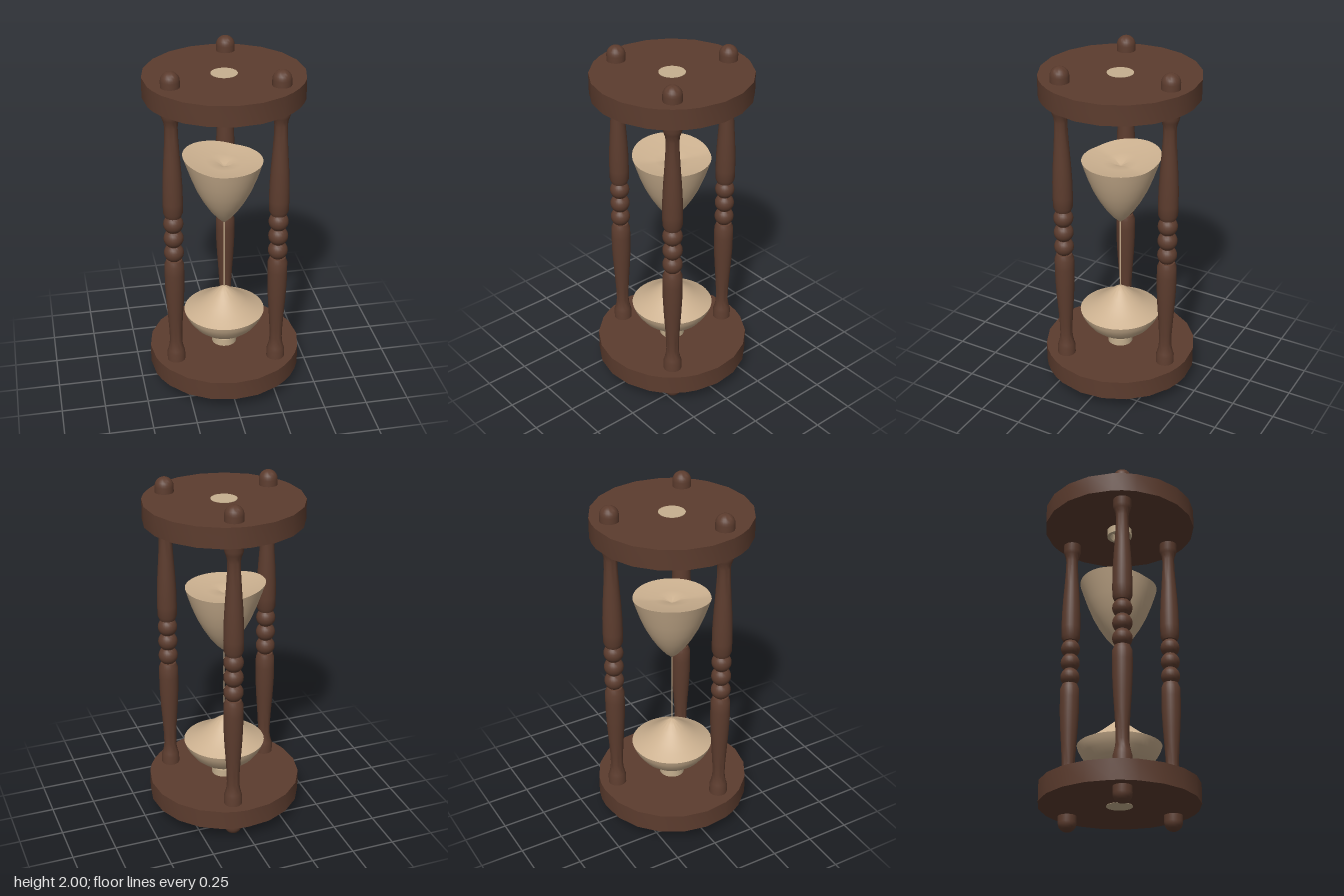
import * as THREE from 'three';
import { toCreasedNormals } from 'three/addons/utils/BufferGeometryUtils.js';

const wood = new THREE.MeshStandardMaterial({ color: 0x5c3c2e });
wood.name = 'dark wood';
const sand = new THREE.MeshStandardMaterial({ color: 0xccb190 });
sand.name = 'sand';
const cork = new THREE.MeshStandardMaterial({ color: 0xc6b08f });
cork.name = 'pale plug';

const mesh = (name, geometry, material) => {
  const m = new THREE.Mesh(geometry, material);
  m.name = name;
  return m;
};

// Profiles are [radius, height] pairs running from bottom to top.
const lathe = (profile, segments) =>
  new THREE.LatheGeometry(profile.map(([r, y]) => new THREE.Vector2(r, y)), segments);

// Arc of a round bead or dome, angles in degrees from straight down to straight up.
function arc(radius, height, y, from, to, steps) {
  return Array.from({ length: steps + 1 }, (_, i) => {
    const a = THREE.MathUtils.degToRad(from + ((to - from) * i) / steps);
    return [Math.max(0, radius * Math.cos(a)), y + height * Math.sin(a)];
  });
}

// Twenty-sided round plate with a few extra corners beside the posts.
function plateGeometry() {
  const angles = Array.from({ length: 20 }, (_, i) => -2.6 + i * 18);
  angles.push(78.4, 203.4, 312.4, 330.4);
  angles.sort((a, b) => a - b);
  const shape = new THREE.Shape(angles.map((deg) => {
    const a = THREE.MathUtils.degToRad(deg);
    return new THREE.Vector2(0.442 * Math.cos(a), 0.442 * Math.sin(a));
  }));
  const g = new THREE.ExtrudeGeometry(shape, { depth: 0.115, bevelEnabled: false });
  g.rotateX(-Math.PI / 2);
  return toCreasedNormals(g, 0.6);
}

// Turned post: domed ends, two tapered shafts and three beads.
function postGeometry() {
  const profile = [
    ...arc(0.052, 0.052, 0.052, -90, 0, 6),
    [0.052, 0.255], [0.046, 0.275], [0.039, 0.305], [0.036, 0.34], [0.037, 0.4],
    [0.043, 0.5], [0.05, 0.6], [0.055, 0.7], [0.056, 0.79], [0.055, 0.85], [0.044, 0.878],
    ...[0.925, 1.016, 1.107].flatMap((y) => arc(0.056, 0.056, y, -52, 52, 6)),
    [0.044, 1.153], [0.055, 1.18], [0.056, 1.24], [0.055, 1.33], [0.05, 1.43],
    [0.043, 1.53], [0.037, 1.63], [0.036, 1.69], [0.039, 1.715], [0.046, 1.735],
    [0.052, 1.755],
    ...arc(0.052, 0.052, 1.948, 0, 90, 6),
  ];
  return toCreasedNormals(lathe(profile, 24), 0.7);
}

// Plug through a plate, with a hollow inner end.
function plugGeometry() {
  const profile = [
    [0, 0], [0.073, 0], [0.073, 0.16], [0.056, 0.16], [0.05, 0.118], [0, 0.116],
  ];
  return toCreasedNormals(lathe(profile, 32), 0.6);
}

// Funnel of sand whose top slumps: higher toward the back right, dipped at the centre.
function upperSandGeometry() {
  const profile = [
    [0, 1.01], [0.012, 1.02], [0.04, 1.046], [0.08, 1.095], [0.12, 1.158],
    [0.155, 1.225], [0.185, 1.3], [0.205, 1.36], [0.217, 1.4],
    [0.19, 1.396], [0.15, 1.39], [0.1, 1.386], [0.05, 1.384], [0.02, 1.372], [0, 1.365],
  ];
  const g = lathe(profile, 48);
  const p = g.attributes.position;
  for (let i = 0; i < p.count; i++) {
    const x = p.getX(i), y = p.getY(i), z = p.getZ(i);
    const lean = Math.max(0, -0.9 * x - 0.43 * z) / 0.217;
    const lift = lean * THREE.MathUtils.clamp((y - 1.3) / 0.08, 0, 1);
    p.setXYZ(i, x * (1 + 0.07 * lift), y + 0.037 * lift, z * (1 + 0.07 * lift));
  }
  return toCreasedNormals(g, 0.7);
}

// Pointed heap above a rounded bowl.
function lowerSandGeometry() {
  const profile = [
    [0, 0.264], [0.05, 0.267], [0.095, 0.278], [0.14, 0.3], [0.18, 0.334],
    [0.21, 0.374], [0.227, 0.405], [0.235, 0.43],
    [0.185, 0.455], [0.13, 0.49], [0.08, 0.53], [0.04, 0.563], [0.015, 0.58], [0, 0.586],
  ];
  return toCreasedNormals(lathe(profile, 48), 0.6);
}

export function createModel() {
  const group = new THREE.Group();
  group.name = 'hourglass';

  // Plates
  const plate = plateGeometry();
  [['bottomPlate', 0.09], ['topPlate', 1.8]].forEach(([name, y]) => {
    const m = mesh(name, plate, wood);
    m.position.y = y;
    group.add(m);
  });

  // Posts
  const post = postGeometry();
  [[-0.31, 0.135], [0.265, 0.215], [0.07, -0.335]].forEach(([x, z], i) => {
    const m = mesh(`post${i + 1}`, post, wood);
    m.position.set(x, 0, z);
    group.add(m);
  });

  // Plugs, the upper one turned over
  const plug = plugGeometry();
  const bottomPlug = mesh('bottomPlug', plug, cork);
  bottomPlug.position.y = 0.088;
  const topPlug = mesh('topPlug', plug, cork);
  topPlug.rotation.x = Math.PI;
  topPlug.position.y = 1.917;
  group.add(bottomPlug, topPlug);

  // Sand and its falling stream
  group.add(mesh('upperSand', upperSandGeometry(), sand));
  group.add(mesh('lowerSand', lowerSandGeometry(), sand));
  const stream = mesh('sandStream', new THREE.CylinderGeometry(0.004, 0.004, 0.45, 8), sand);
  stream.position.y = 0.8;
  group.add(stream);

  return group;
}
